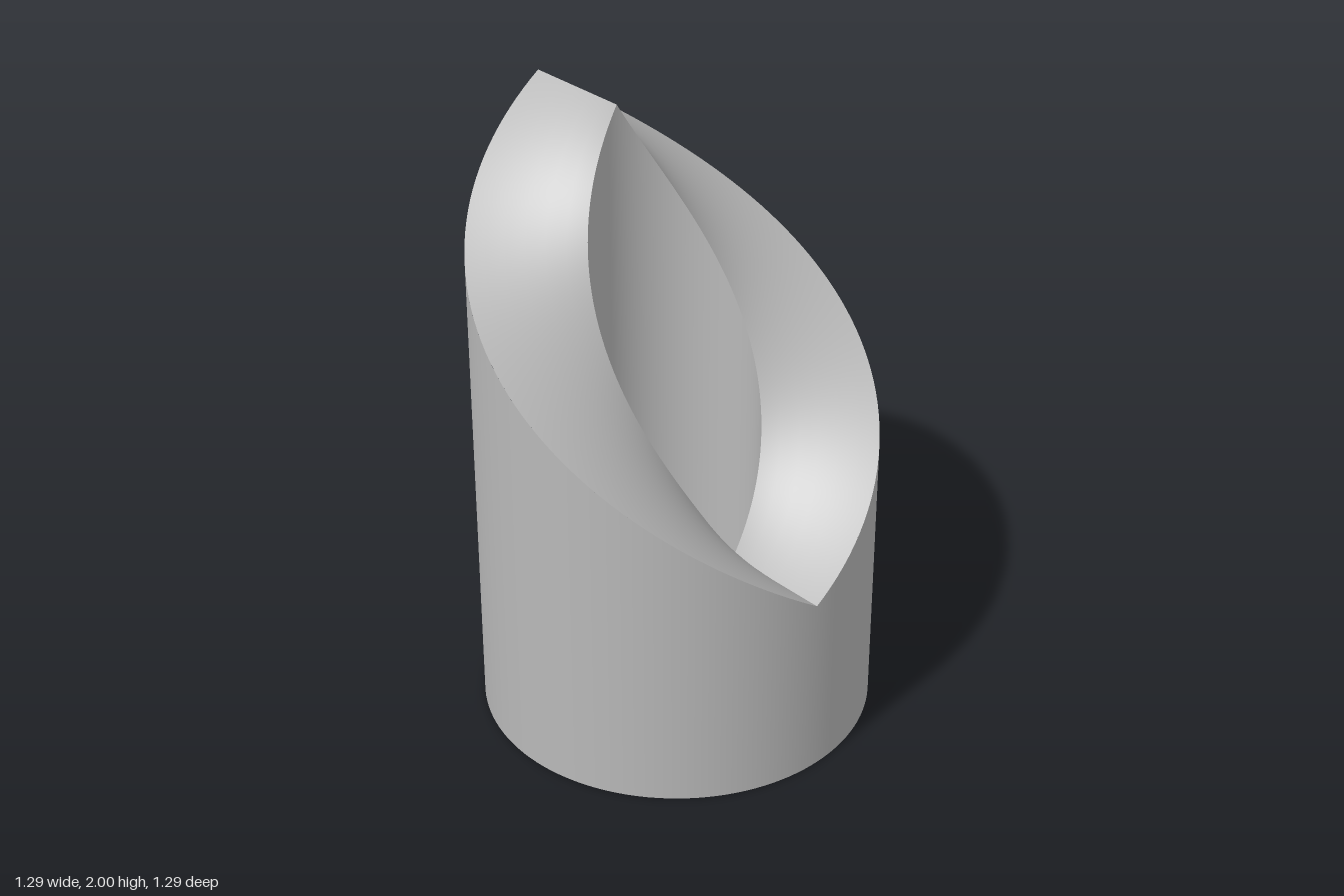
import * as THREE from 'three';
import { ParametricGeometry } from 'three/addons/geometries/ParametricGeometry.js';

const R = 0.645, BORE = 0.27;              // outer and bore radius
const LOW = 0.62, HIGH = 2;                // spiral rim heights, front and back
const RECESS = 0.49, FLAT = -0.288, DEPTH = 0.26; // D-shaped socket underneath
const SLOT_IN = 0.07, SLOT_OUT = 0.22, SLOT_Y0 = 0.325, SLOT_Y1 = 0.79, SLOT_R = 0.585;

const lerp = THREE.MathUtils.lerp;
// Rim height at an angle measured from the front
const rim = (a) => lerp(LOW, HIGH, Math.abs(a) / Math.PI);

export function createModel() {
  const group = new THREE.Group();
  const grey = new THREE.MeshStandardMaterial({ color: 0xb8b8b8 });
  grey.name = 'grey';

  const add = (name, geometry) => {
    const mesh = new THREE.Mesh(geometry, grey);
    mesh.name = name;
    group.add(mesh);
    return mesh;
  };
  // Surface patch in polar form: f(u, v) gives [angle, radius, height]
  const patch = (name, f, nu = 1, nv = 1) =>
    add(name, new ParametricGeometry((u, v, p) => {
      const [a, r, y] = f(u, v);
      p.set(r * Math.sin(a), y, r * Math.cos(a));
    }, nu, nv));
  // Angle range on either side of the model, always increasing
  const range = (side, a, b) => (side > 0 ? [a, b] : [-b, -a]);

  for (const side of [1, -1]) {
    const [h0, h1] = range(side, 0, Math.PI);

    // Spiral rim and bore
    patch('spiralRim', (u, v) => {
      const a = lerp(h0, h1, u);
      return [a, lerp(R, BORE, v), rim(a)];
    }, 64, 6);
    patch('bore', (u, v) => {
      const a = lerp(h1, h0, u);
      return [a, BORE, lerp(DEPTH, rim(a), v)];
    }, 64, 1);

    // Outer wall, left open at the slot
    const wall = (from, to, bottom, top, n) => {
      const [a0, a1] = range(side, from, to);
      patch('outerWall', (u, v) => {
        const a = lerp(a0, a1, u);
        return [a, R, lerp(bottom, top ?? rim(a), v)];
      }, n, 1);
    };
    const s0 = Math.PI - SLOT_OUT, s1 = Math.PI - SLOT_IN;
    wall(0, s0, 0, null, 60);
    wall(s0, s1, 0, SLOT_Y0, 4);
    wall(s0, s1, SLOT_Y1, null, 4);
    wall(s1, Math.PI, 0, null, 2);

    // Slot pocket
    const [a0, a1] = range(side, s0, s1);
    patch('slotBack', (u, v) => [lerp(a0, a1, u), SLOT_R, lerp(SLOT_Y0, SLOT_Y1, v)], 4, 1);
    patch('slotFloor', (u, v) => [lerp(a0, a1, u), lerp(R, SLOT_R, v), SLOT_Y0], 4, 1);
    patch('slotCeiling', (u, v) => [lerp(a0, a1, u), lerp(SLOT_R, R, v), SLOT_Y1], 4, 1);
    patch('slotSide', (u, v) => [a0, lerp(R, SLOT_R, u), lerp(SLOT_Y0, SLOT_Y1, v)]);
    patch('slotSide', (u, v) => [a1, lerp(SLOT_R, R, u), lerp(SLOT_Y0, SLOT_Y1, v)]);
  }

  // D outline of the socket, flat towards the back
  const cut = Math.asin(-FLAT / RECESS);
  const outlineD = (Type) => {
    const d = new Type();
    d.absarc(0, 0, RECESS, -cut, Math.PI + cut, false);
    d.closePath();
    return d;
  };
  const circle = (Type, r) => new Type().absarc(0, 0, r, 0, Math.PI * 2, false);

  // Downward faces: base ring and socket ceiling
  const base = circle(THREE.Shape, R);
  base.holes.push(outlineD(THREE.Path));
  add('baseRing', new THREE.ShapeGeometry(base, 128).rotateX(Math.PI / 2));

  const ceiling = outlineD(THREE.Shape);
  ceiling.holes.push(circle(THREE.Path, BORE));
  add('socketCeiling', new THREE.ShapeGeometry(ceiling, 128).rotateX(Math.PI / 2)).position.y = DEPTH;

  // Socket walls: round part and flat part
  const end = Math.PI / 2 + cut;
  patch('socketWall', (u, v) => [lerp(end, -end, u), RECESS, DEPTH * v], 96, 1);
  add('socketFlat', new THREE.PlaneGeometry(2 * RECESS * Math.cos(cut), DEPTH))
    .position.set(0, DEPTH / 2, FLAT);

  return group;
}
